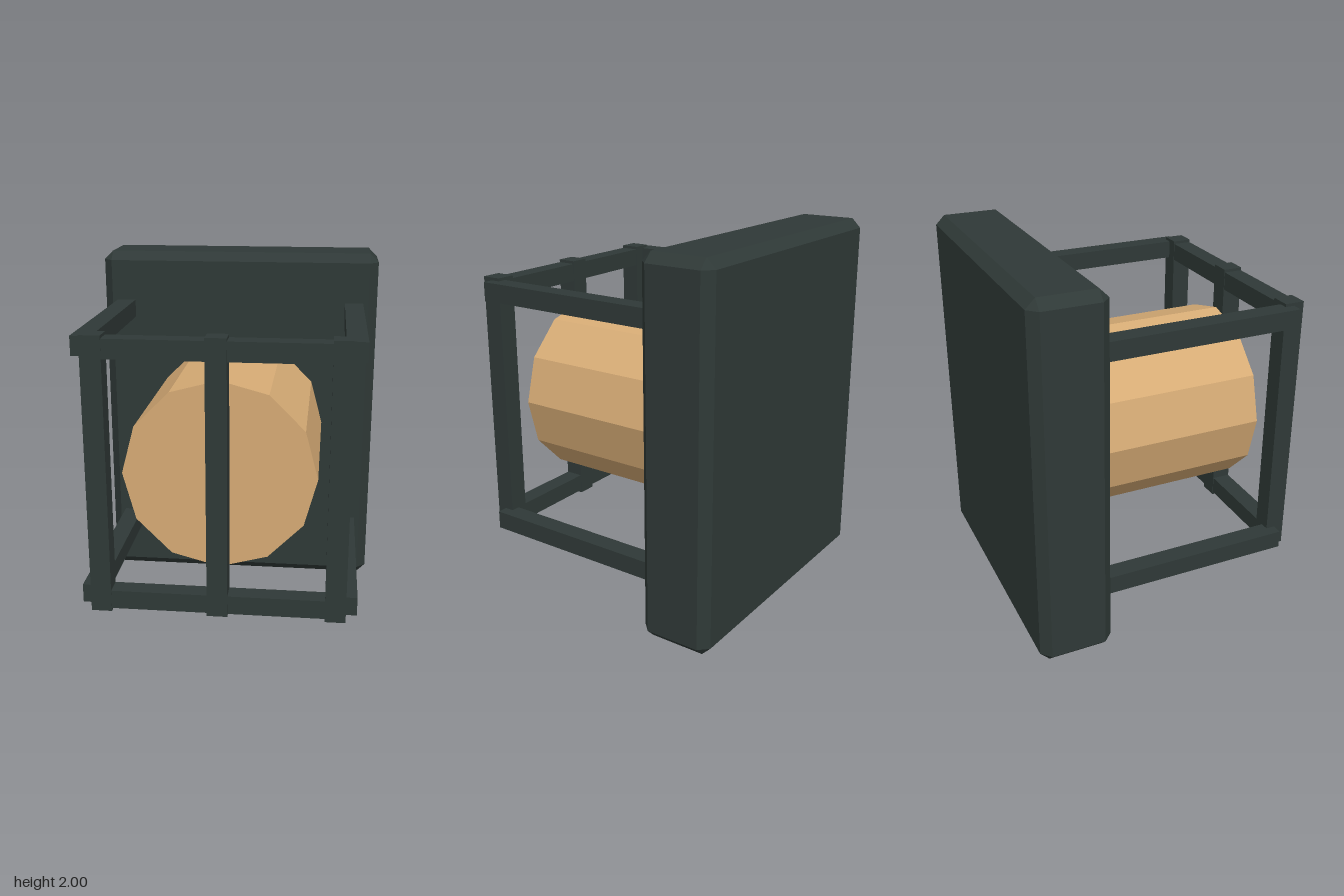
import * as THREE from 'three';
import { ConvexGeometry } from 'three/addons/geometries/ConvexGeometry.js';

const dark = new THREE.MeshStandardMaterial({ color: 0x2f3937 });
dark.name = 'dark metal';
const amber = new THREE.MeshStandardMaterial({ color: 0xd6ab75 });
amber.name = 'warm lamp glass';

// Box with every edge bevelled: each corner becomes three points
function bevelledBox(w, h, d, b) {
  const points = [];
  for (const sx of [-1, 1]) for (const sy of [-1, 1]) for (const sz of [-1, 1]) {
    const x = w / 2, y = h / 2, z = d / 2;
    points.push(
      new THREE.Vector3(sx * x, sy * (y - b), sz * (z - b)),
      new THREE.Vector3(sx * (x - b), sy * y, sz * (z - b)),
      new THREE.Vector3(sx * (x - b), sy * (y - b), sz * z));
  }
  return new ConvexGeometry(points);
}

export function createModel() {
  const model = new THREE.Group();
  model.name = 'cagedWallLamp';

  function add(name, geometry, material, x, y, z, parent = model) {
    const mesh = new THREE.Mesh(geometry, material);
    mesh.name = name;
    mesh.position.set(x, y, z);
    parent.add(mesh);
    return mesh;
  }

  // Wall plate
  add('backPlate', bevelledBox(1.6, 2, 0.4, 0.05), dark, 0, 1, -0.56);

  // Twelve-sided lamp, pointing forward
  const lampGeometry = new THREE.CylinderGeometry(0.5, 0.5, 1, 12).toNonIndexed();
  lampGeometry.computeVertexNormals();
  lampGeometry.rotateX(Math.PI / 2);
  add('lamp', lampGeometry, amber, 0, 1, 0.14);

  // Protective cage
  const cage = new THREE.Group();
  cage.name = 'cage';
  model.add(cage);
  const side = new THREE.BoxGeometry(0.105, 0.1, 1.07);
  const cross = new THREE.BoxGeometry(1.31, 0.1, 0.102);
  const upright = new THREE.BoxGeometry(0.107, 1.465, 0.107);
  for (const [level, y] of [['lower', 0.337], ['upper', 1.67]]) {
    for (const s of [-1, 1]) {
      add(level + (s > 0 ? 'LeftRod' : 'RightRod'), side, dark, s * 0.667, y, 0.167, cage);
    }
    add(level + 'CrossBar', cross, dark, 0, y, 0.705, cage);
  }
  for (const [name, x] of [['right', -0.608], ['middle', 0], ['left', 0.608]]) {
    add(name + 'Upright', upright, dark, x, 1.003, 0.705, cage);
  }

  return model;
}
